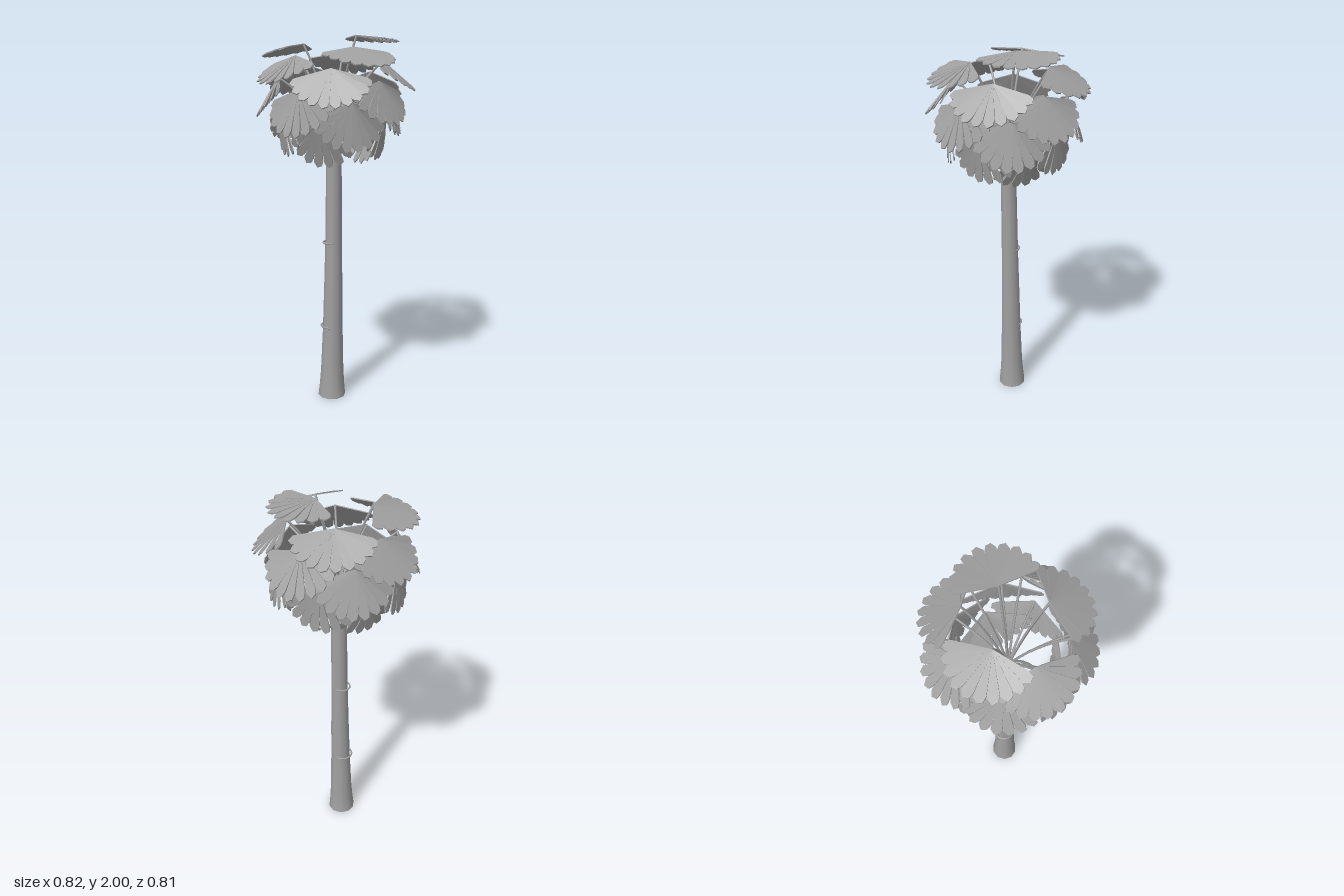
import * as THREE from 'three';
import { mergeGeometries, toCreasedNormals } from 'three/addons/utils/BufferGeometryUtils.js';

const rad = THREE.MathUtils.degToRad;

// One pleat of a fan: narrow at the hub, widest near the end, blunt lopsided tip
function bladeGeometry(length, width) {
  const s = new THREE.Shape();
  s.moveTo(-0.003, 0);
  s.lineTo(0.003, 0);
  s.lineTo(width / 2, length * 0.83);
  s.lineTo(width * 0.38, length * 0.95);
  s.lineTo(-width * 0.1, length);
  s.lineTo(-width / 2, length * 0.88);
  s.closePath();
  const g = new THREE.ExtrudeGeometry(s, { depth: 0.006, bevelEnabled: false });
  g.rotateX(Math.PI / 2); // length runs along +z, face looks up
  return g;
}

// A whole fan leaf: blades spread about the hub, the outer ones drooping
function fanGeometry(length, spread, droop) {
  const count = 10, blades = [];
  const halfStep = spread / (count - 1);
  const width = 2 * 0.19 * Math.tan(halfStep) * 0.98;
  for (let i = 0; i < count; i++) {
    const t = (i / (count - 1)) * 2 - 1;
    const g = bladeGeometry(length - 0.02 * t * t, width);
    g.rotateZ(0.08);
    g.rotateX(droop * t * t);
    g.rotateY(t * spread);
    blades.push(g);
  }
  return mergeGeometries(blades);
}

// Centre line of the trunk leans slightly
const leanX = y => 0.004 * Math.sin(y * 2);
const leanZ = y => -0.025 * Math.max(0, 1 - y / 1.5);

// Flared trunk with a closed foot; its open head is hidden among the stalks
function trunkGeometry() {
  const profile = [
    [0, 0], [0.077, 0], [0.07, 0.07], [0.064, 0.16], [0.056, 0.4],
    [0.051, 0.65], [0.046, 0.9], [0.043, 1.2], [0.041, 1.45],
  ].map(([r, y]) => new THREE.Vector2(r, y));
  const g = new THREE.LatheGeometry(profile, 10);
  const p = g.attributes.position;
  for (let i = 0; i < p.count; i++) {
    const y = p.getY(i);
    p.setXYZ(i, p.getX(i) + leanX(y), y, p.getZ(i) + leanZ(y));
  }
  return toCreasedNormals(g, rad(50));
}

export function createModel() {
  const model = new THREE.Group();
  model.name = 'fanPalm';
  const grey = new THREE.MeshStandardMaterial({ color: 0xa0a0a0 });
  grey.name = 'grey';

  const add = (parent, geometry, name) => {
    const mesh = new THREE.Mesh(geometry, grey);
    mesh.name = name;
    parent.add(mesh);
    return mesh;
  };

  add(model, trunkGeometry(), 'trunk');

  // Scar rings, set off to one side of the trunk
  for (const [y, r] of [[0.42, 0.054], [0.905, 0.046]]) {
    const ring = add(model, new THREE.TorusGeometry(r, 0.005, 6, 20), 'trunkRing');
    ring.rotation.x = Math.PI / 2;
    ring.position.set(leanX(y) - 0.008, y, leanZ(y) - 0.008);
  }

  // Leaves spiral down a sphere by the golden angle, in even steps of height
  for (let i = 0; i <= 21; i++) {
    const az = rad(-137.5 * i);
    const rise = 0.905 - 0.068 * i;
    const elevation = THREE.MathUtils.radToDeg(Math.asin(rise));
    const out = 0.3 * Math.cos(rad(elevation));
    const hubY = 1.703 + 0.3 * rise + (i === 0 ? 0.023 : 0);
    const at = (r, y) => new THREE.Vector3(r * Math.cos(az), y, r * Math.sin(az));

    const leaf = new THREE.Group();
    leaf.name = 'leaf';
    model.add(leaf);

    // Arching stalk from the trunk head to the hub
    const startY = 1.46;
    const stalk = new THREE.QuadraticBezierCurve3(
      at(0.008, startY),
      at(out * 0.42, startY + (hubY - startY) * 0.6 + 0.02),
      at(out, hubY - 0.004));
    add(leaf, new THREE.TubeGeometry(stalk, 6, 0.006, 5), 'leafStalk');

    // Lower fans hang steeper, a little longer, narrower and more cupped
    const fan = fanGeometry(0.226 + 0.0008 * i, rad(74 - 0.4 * i), 0.05 + 0.016 * i);
    const blade = add(leaf, fan, 'leafFan');
    blade.position.copy(at(out, hubY));
    blade.rotation.order = 'YXZ';
    blade.rotation.y = Math.PI / 2 - az;
    blade.rotation.x = rad(90 - elevation - 17 + 0.5 * i);
  }
  return model;
}
